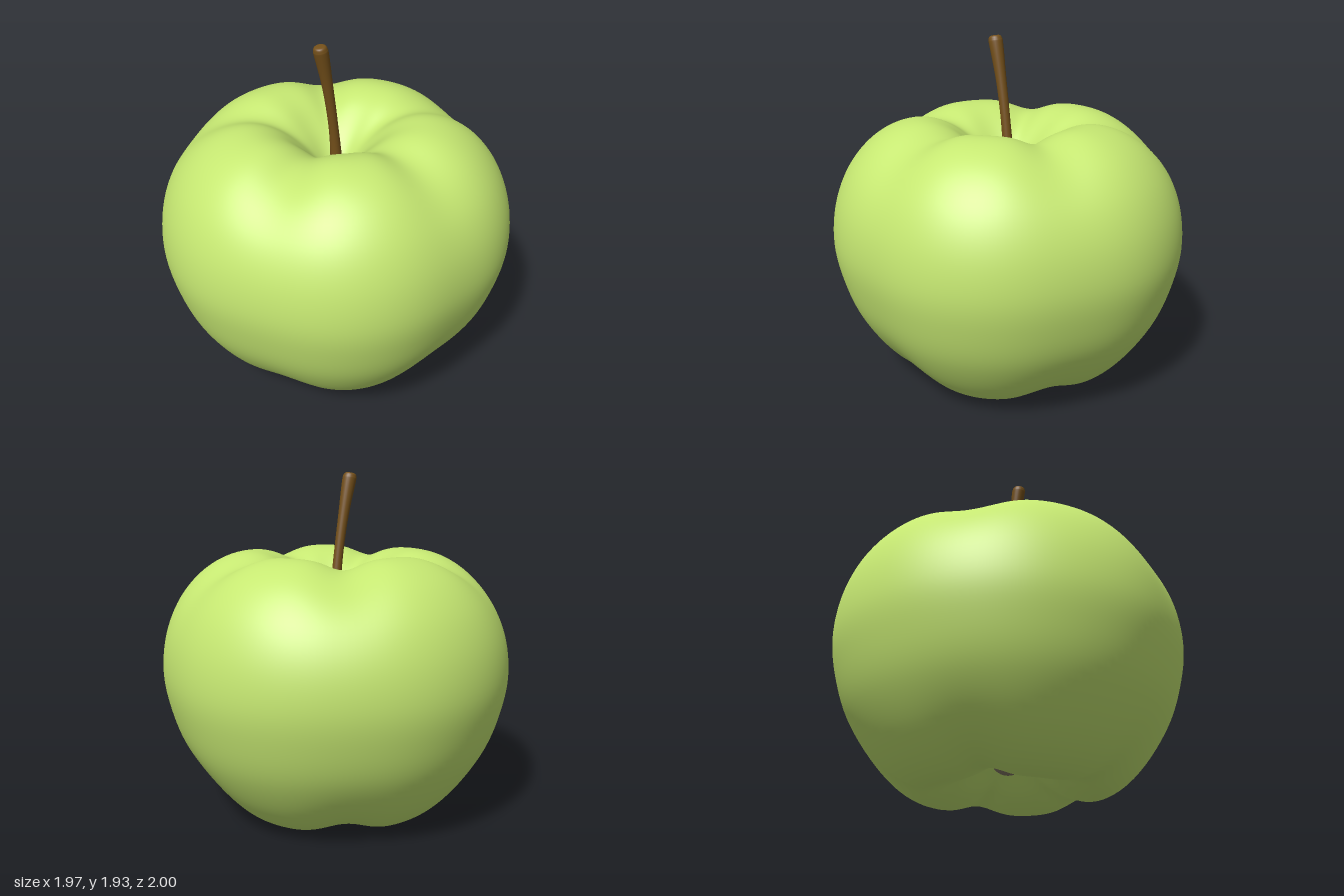
import * as THREE from 'three';
import { mergeVertices } from 'three/addons/utils/BufferGeometryUtils.js';

const CENTRE_X = 0.02;

// Grooves between the five lobes: [angle in degrees, depth at the waist]
const GROOVES = [[0, 0.045], [67, 0.035], [144, 0.01], [216, 0.018], [288, 0.03]];

// Lathe with welded seam and poles, each vertex then moved by a rule
function mouldedLathe(points, segments, move) {
  const lathe = new THREE.LatheGeometry(points, segments);
  lathe.deleteAttribute('uv');
  lathe.deleteAttribute('normal');
  const geometry = mergeVertices(lathe, 1e-5);
  const pos = geometry.attributes.position;
  const v = new THREE.Vector3();
  for (let i = 0; i < pos.count; i++) {
    v.fromBufferAttribute(pos, i);
    move(v);
    pos.setXYZ(i, v.x, v.y, v.z);
  }
  geometry.computeVertexNormals();
  return geometry;
}

const spline = (pairs, n) =>
  new THREE.SplineCurve(pairs.map(([x, y]) => new THREE.Vector2(x, y)))
    .getPoints(n).map((p) => p.setX(Math.max(p.x, 0)));

function addMesh(group, name, geometry, color) {
  const mesh = new THREE.Mesh(geometry, new THREE.MeshStandardMaterial({ color }));
  mesh.name = name;
  group.add(mesh);
  return mesh;
}

export function createModel() {
  const group = new THREE.Group();
  group.name = 'apple';

  // Fruit: profile from the bottom hollow, round the outside, into the top hollow
  const profile = spline([
    [0, 0.27], [0.06, 0.25], [0.15, 0.17], [0.29, 0.06], [0.47, 0.005], [0.62, 0.06],
    [0.765, 0.2], [0.9, 0.41], [0.975, 0.62], [1.008, 0.82], [0.985, 1.03],
    [0.91, 1.22], [0.79, 1.37], [0.64, 1.465], [0.48, 1.495], [0.33, 1.45],
    [0.19, 1.33], [0.08, 1.19], [0.045, 1.14], [0, 1.13],
  ], 110);

  // Grooves are strongest over the shoulders and fade round the waist
  const fruit = mouldedLathe(profile, 160, (v) => {
    const r = Math.hypot(v.x, v.z);
    const angle = Math.atan2(v.z, v.x);
    const h = THREE.MathUtils.clamp((v.y - 0.75) / 0.75, -1, 1);
    const shoulder = Math.abs(h) ** 3 * THREE.MathUtils.smoothstep(r, 0, 0.35);
    let pinch = 1;
    let dip = 0;
    for (const [degrees, depth] of GROOVES) {
      const turn = angle - THREE.MathUtils.degToRad(degrees);
      const away = Math.atan2(Math.sin(turn), Math.cos(turn));
      const wide = Math.exp(-((away / 0.34) ** 2));
      const narrow = Math.exp(-((away / 0.27) ** 2));
      pinch -= depth * wide + (h > 0 ? 0.035 : 0.015) * shoulder * narrow;
      dip += (h > 0 ? 0.06 : 0.05) * shoulder * narrow;
    }
    v.x *= pinch;
    v.z *= pinch;
    v.y -= Math.sign(h) * dip;
  });
  addMesh(group, 'fruit', fruit, 0xc6e872).position.x = CENTRE_X;

  // Stem: rod flared at both ends, curving forward
  const stemProfile = spline([
    [0, 1.1], [0.046, 1.1], [0.036, 1.2], [0.029, 1.35], [0.027, 1.5], [0.03, 1.7],
    [0.039, 1.88], [0.038, 1.915], [0.028, 1.933], [0, 1.936],
  ], 60);
  const stem = mouldedLathe(stemProfile, 24, (v) => {
    const t = Math.max(0, (v.y - 1.1) / 0.83);
    v.y -= v.z * 0.2 * t;
    v.z += -0.008 + 0.123 * t ** 1.7;
  });
  addMesh(group, 'stem', stem, 0x74501a).position.x = CENTRE_X;

  // Calyx: small dried knob in the bottom hollow
  const calyx = addMesh(group, 'calyx', new THREE.SphereGeometry(0.1, 32, 20), 0x857a66);
  calyx.position.set(CENTRE_X, 0.225, 0);

  return group;
}
